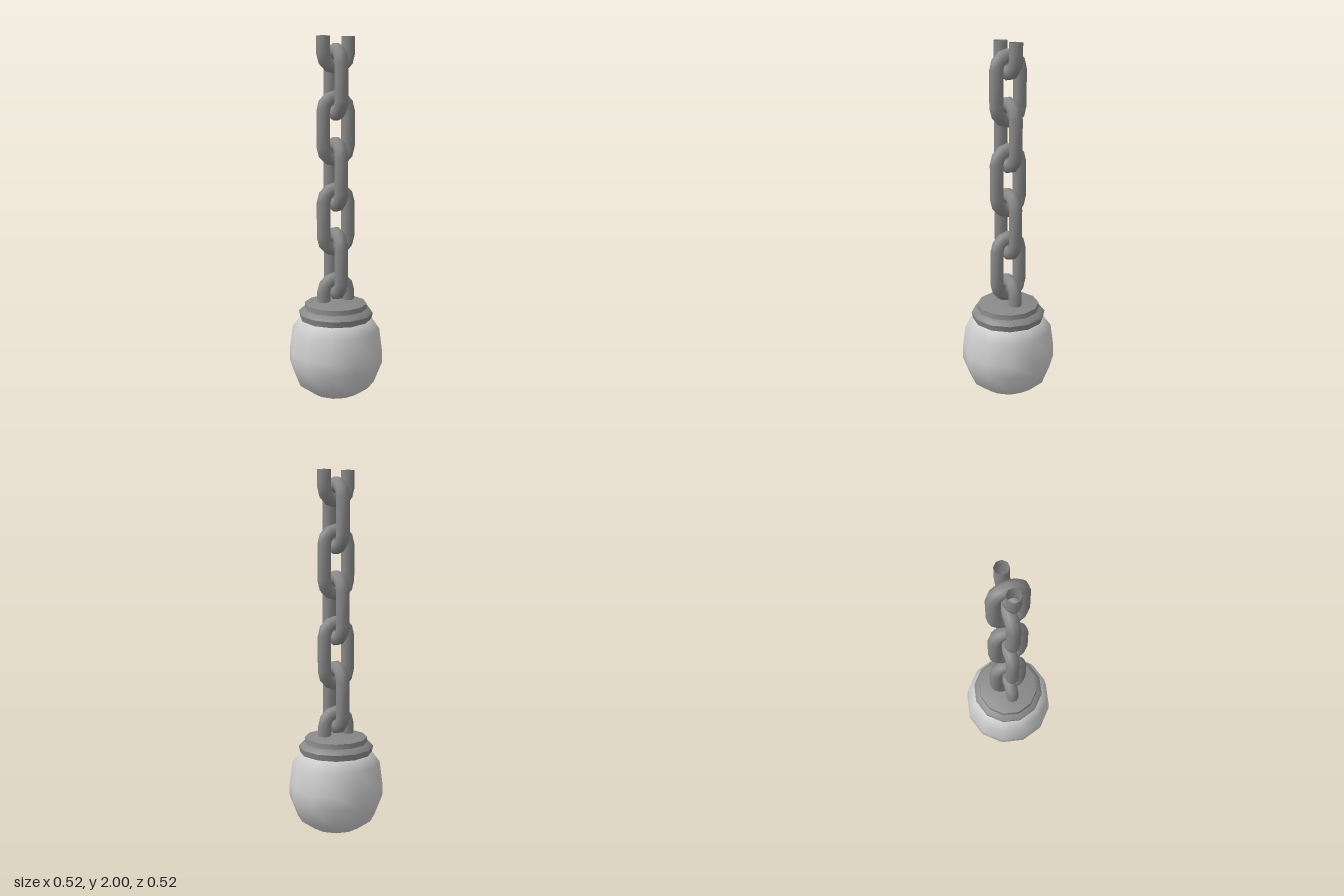
import * as THREE from 'three';
import { toCreasedNormals } from 'three/addons/utils/BufferGeometryUtils.js';

const BEND = 0.073, STRAIGHT = 0.097, WIRE = 0.037, SIDES = 8, ARC = 6;

const ballMaterial = new THREE.MeshStandardMaterial({ color: 0xcccccc });
const ironMaterial = new THREE.MeshStandardMaterial({ color: 0x888888, side: THREE.DoubleSide });

// Half of a link's centre line: [x, y, direction angle], counterclockwise
function bend(start, offsetY) {
  return Array.from({ length: ARC + 1 }, (_, i) => {
    const a = start + (i / ARC) * Math.PI;
    return [BEND * Math.cos(a), offsetY + BEND * Math.sin(a), a];
  });
}

// Sweep an octagonal wire along a centre line lying in the xy plane
function sweepWire(path, closed) {
  const positions = [], index = [];
  for (const [x, y, a] of path) {
    for (let j = 0; j < SIDES; j++) {
      const t = ((j + 0.5) / SIDES) * Math.PI * 2;
      const r = WIRE * Math.cos(t);
      positions.push(x + r * Math.cos(a), y + r * Math.sin(a), WIRE * Math.sin(t));
    }
  }
  const spans = closed ? path.length : path.length - 1;
  for (let i = 0; i < spans; i++) {
    const next = (i + 1) % path.length;
    for (let j = 0; j < SIDES; j++) {
      const k = (j + 1) % SIDES;
      const a = i * SIDES + j, b = next * SIDES + j, c = next * SIDES + k, d = i * SIDES + k;
      index.push(a, b, d, b, c, d);
    }
  }
  const geometry = new THREE.BufferGeometry();
  geometry.setAttribute('position', new THREE.Float32BufferAttribute(positions, 3));
  geometry.setIndex(index);
  geometry.computeVertexNormals();
  return geometry;
}

function lathe(profile) {
  return new THREE.LatheGeometry(profile.map(([r, y]) => new THREE.Vector2(r, y)), 12);
}

export function createModel() {
  const model = new THREE.Group();
  model.name = 'ballAndChain';

  const add = (name, geometry, material, y = 0, turn = 0, parent = model) => {
    const mesh = new THREE.Mesh(geometry, material);
    mesh.name = name;
    mesh.position.y = y;
    mesh.rotation.y = turn;
    parent.add(mesh);
  };

  // Heavy ball
  add('ball', lathe([
    [0, 0], [0.07, 0.005], [0.137, 0.028], [0.217, 0.085], [0.262, 0.2],
    [0.262, 0.272], [0.245, 0.4], [0.2, 0.458], [0.1, 0.5], [0, 0.51],
  ]), ballMaterial);

  // Stepped cap on the ball
  add('cap', toCreasedNormals(lathe([
    [0.15, 0.45], [0.2, 0.45], [0.208, 0.49], [0.195, 0.506], [0.176, 0.515],
    [0.173, 0.543], [0.11, 0.557], [0, 0.56],
  ]), 0.75), ironMaterial);

  // Chain: anchor arch, five whole links turned alternately, open half link
  const chain = new THREE.Group();
  chain.name = 'chain';
  model.add(chain);

  const arch = sweepWire([[BEND, 0, 0], ...bend(0, STRAIGHT), [-BEND, 0, Math.PI]], false);
  add('anchorArch', arch, ironMaterial, 0.513, 0, chain);

  const link = sweepWire([...bend(0, STRAIGHT), ...bend(Math.PI, -STRAIGHT)], true);
  for (let i = 0; i < 5; i++) {
    add('link' + (i + 1), link, ironMaterial, 0.768 + i * 0.248, i % 2 ? 0 : Math.PI / 2, chain);
  }

  const half = sweepWire(
    [[-BEND, 0, Math.PI], ...bend(Math.PI, 0.007 - STRAIGHT), [BEND, 0, Math.PI * 2]], false);
  add('openHalfLink', half, ironMaterial, 2, 0, chain);

  return model;
}
